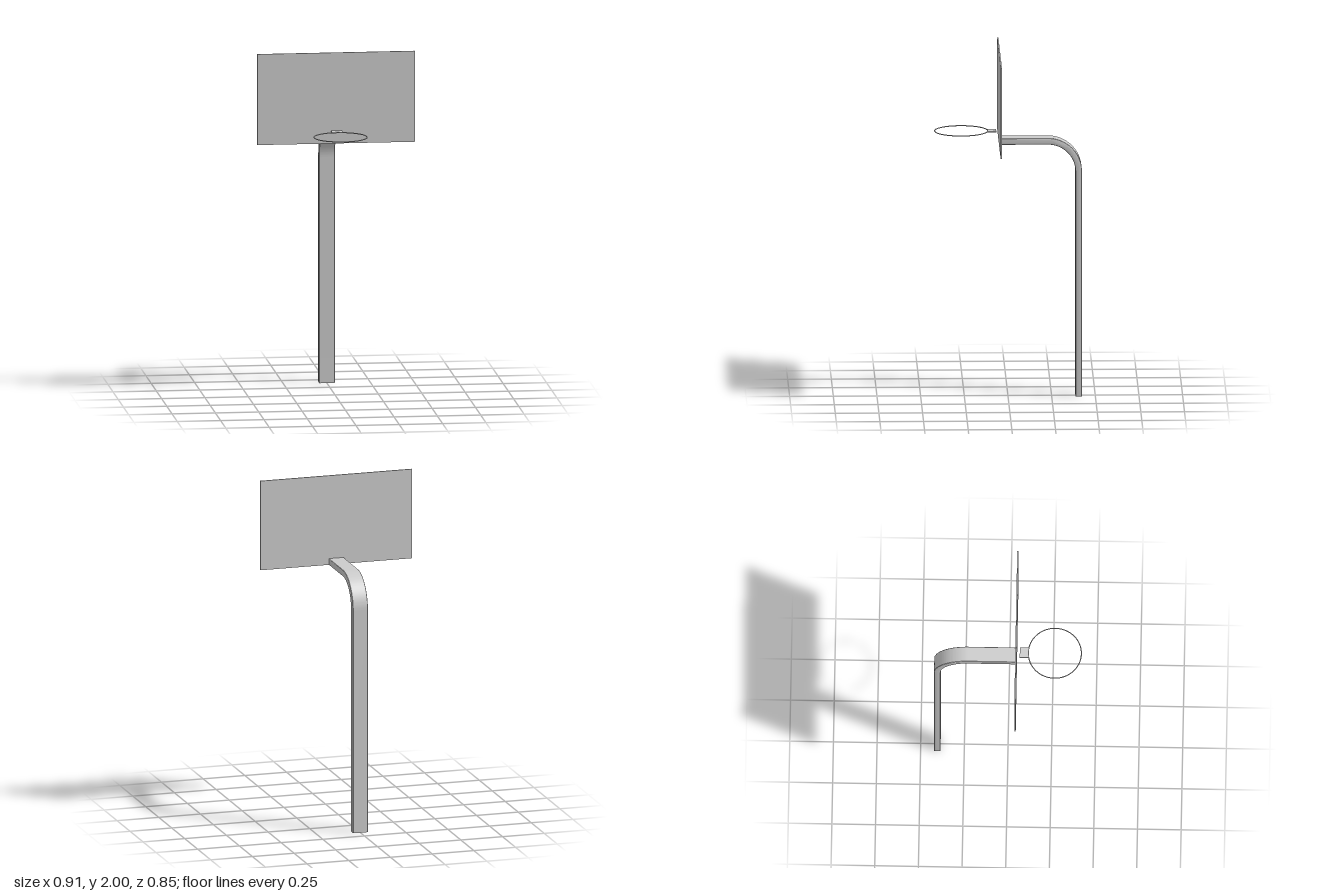
import * as THREE from 'three';
import { toCreasedNormals } from 'three/addons/utils/BufferGeometryUtils.js';

export function createModel() {
  const group = new THREE.Group();
  const material = new THREE.MeshStandardMaterial({ color: 0xcccccc });

  function add(name, geometry, x, y, z) {
    const mesh = new THREE.Mesh(geometry, material);
    mesh.name = name;
    mesh.position.set(x, y, z);
    group.add(mesh);
    return mesh;
  }

  // Post and arm: one bent side profile, extruded across the width with a small bevel
  const back = -0.423, end = 0.044, top = 1.509;
  const thick = 0.037, radius = 0.195, width = 0.094;
  const bevel = 0.012, bevelDepth = 0.004;
  const cz = back + radius, cy = top - radius;
  const profile = new THREE.Shape();
  profile.moveTo(back, 0);
  profile.lineTo(back + thick, 0);
  profile.lineTo(back + thick, cy);
  profile.absarc(cz, cy, radius - thick, Math.PI, Math.PI / 2, true);
  profile.lineTo(end, top - thick);
  profile.lineTo(end, top);
  profile.lineTo(cz, top);
  profile.absarc(cz, cy, radius, Math.PI / 2, Math.PI, false);
  profile.closePath();
  const postGeometry = new THREE.ExtrudeGeometry(profile, {
    depth: width - 2 * bevelDepth,
    curveSegments: 20,
    bevelEnabled: true,
    bevelSize: bevel,
    bevelOffset: -bevel,
    bevelThickness: bevelDepth,
    bevelSegments: 3,
  });
  // Profile x becomes world z
  postGeometry.translate(0, 0, -(width / 2 - bevelDepth));
  postGeometry.rotateY(-Math.PI / 2);
  add('postAndArm', toCreasedNormals(postGeometry, 0.4), 0, 0, 0);

  // Backboard
  add('backboard', new THREE.BoxGeometry(0.908, 0.528, 0.008), 0, 1.736, 0.048);

  // Bracket plate behind the hoop
  add('hoopBracket', new THREE.BoxGeometry(0.062, 0.006, 0.051), 0, 1.546, 0.0925);

  // Hoop
  const hoopGeometry = new THREE.TorusGeometry(0.152, 0.003, 8, 64);
  hoopGeometry.rotateX(Math.PI / 2);
  add('hoop', hoopGeometry, 0, 1.546, 0.268);

  return group;
}
